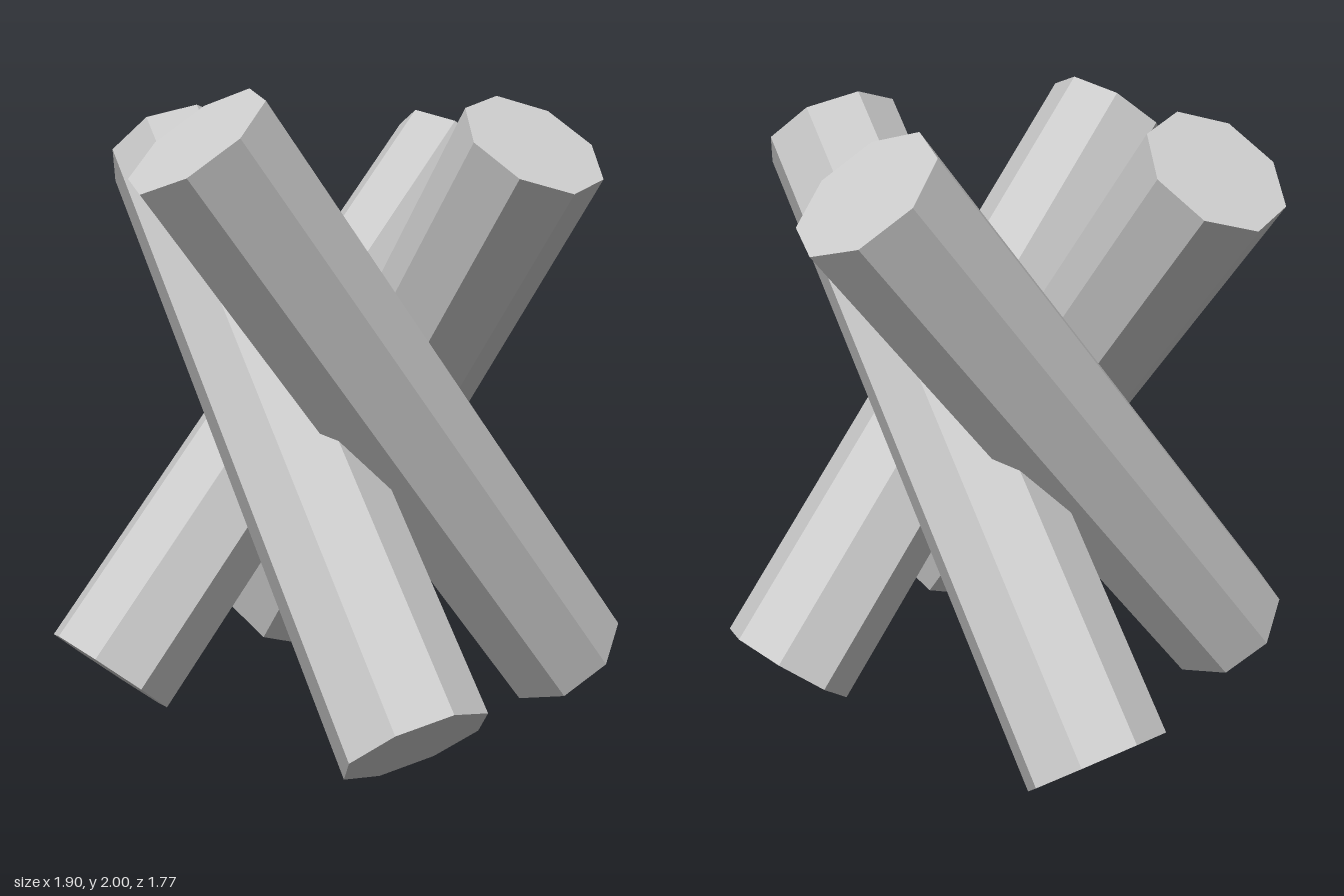
import * as THREE from 'three';

const RADIUS = 0.23;
const LOW = 0.146;
const HIGH = 1.854;

// Each log: name, upper end [x, z], lower end [x, z]
const LOGS = [
  ['frontLog', [-0.778, 0.213], [0.628, 0.44]],
  ['backLog', [0.778, -0.188], [-0.62, -0.459]],
  ['rightLog', [-0.133, -0.688], [-0.412, 0.713]],
  ['leftLog', [0.124, 0.685], [0.397, -0.714]],
];

// Octagonal log between two points, with one pair of edges kept level
function makeLog(name, top, bottom, material) {
  const a = new THREE.Vector3(bottom[0], LOW, bottom[1]);
  const b = new THREE.Vector3(top[0], HIGH, top[1]);
  const axis = b.clone().sub(a);
  const length = axis.length();
  axis.normalize();
  const level = new THREE.Vector3(-axis.z, 0, axis.x).normalize();
  const side = new THREE.Vector3().crossVectors(axis, level);

  const log = new THREE.Mesh(new THREE.CylinderGeometry(RADIUS, RADIUS, length, 8), material);
  log.name = name;
  log.quaternion.setFromRotationMatrix(new THREE.Matrix4().makeBasis(side, axis, level));
  log.position.copy(a).add(b).multiplyScalar(0.5);
  return log;
}

export function createModel() {
  const group = new THREE.Group();
  group.name = 'crossedLogs';
  const grey = new THREE.MeshStandardMaterial({ color: 0xcccccc });
  grey.name = 'lightGrey';
  grey.flatShading = true;
  for (const [name, top, bottom] of LOGS) group.add(makeLog(name, top, bottom, grey));
  return group;
}
